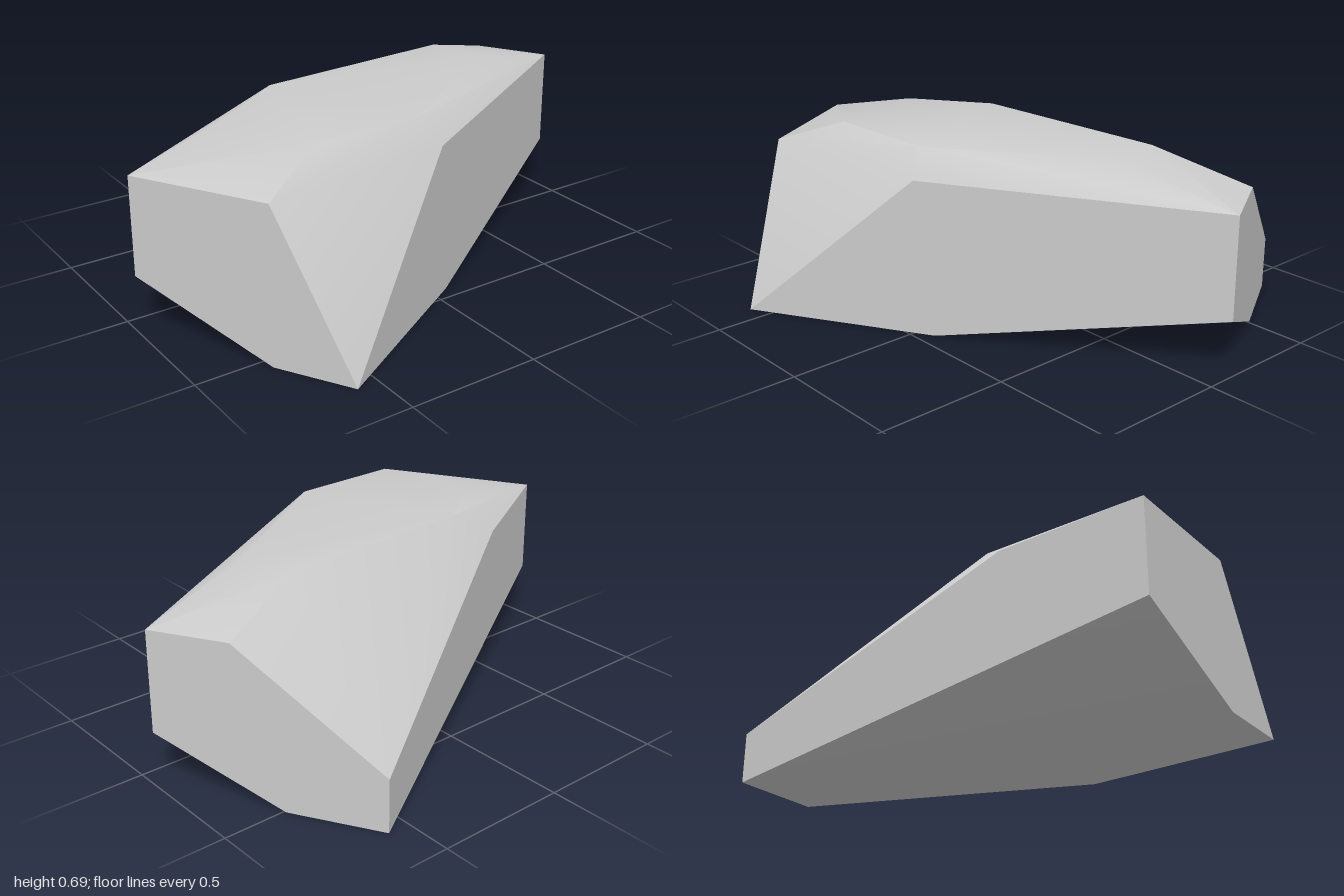
import * as THREE from 'three';
import { ConvexGeometry } from 'three/addons/geometries/ConvexGeometry.js';
import { toCreasedNormals } from 'three/addons/utils/BufferGeometryUtils.js';

// Half length and half width of the block the rock is cut from, and its levels.
const L = 0.914, W = 0.417;
const SHOULDER = 0.59, TOP = 0.69;

// Rings of corners as [along, across] pairs, in the rock's own turned frame.
const base = [[-L, 0.11], [-L, W], [-0.16, W], [L, -0.06], [L, -W]];
const shoulder = [[-L, -W], [-L, 0.11], [-0.23, W], [L, W], [L, 0.12], [-0.325, -W]];
const crown = [[-0.517, -0.264], [-0.626, 0.124], [-0.248, 0.33], [0.476, 0.275], [0.543, 0.06], [-0.177, -0.293]];

const ring = (corners, y) => corners.map(([u, v]) => new THREE.Vector3(u, y, v));

export function createModel() {
  const group = new THREE.Group();
  group.name = 'rock';

  const points = [
    ...ring(base, 0),
    // Lower ends of the upright corner edges, above the undercuts
    new THREE.Vector3(-L, 0.22, -W),
    new THREE.Vector3(L, 0.21, W),
    new THREE.Vector3(L, 0.2, -W),
    ...ring(shoulder, SHOULDER),
    ...ring(crown, TOP),
  ];

  // Shallow edges are softened, steeper ones stay sharp.
  const geometry = toCreasedNormals(new ConvexGeometry(points), Math.PI / 6);
  const boulder = new THREE.Mesh(geometry, new THREE.MeshStandardMaterial({ color: 0xcccccc }));
  boulder.name = 'boulder';
  boulder.rotation.y = Math.PI / 6;
  group.add(boulder);
  return group;
}
